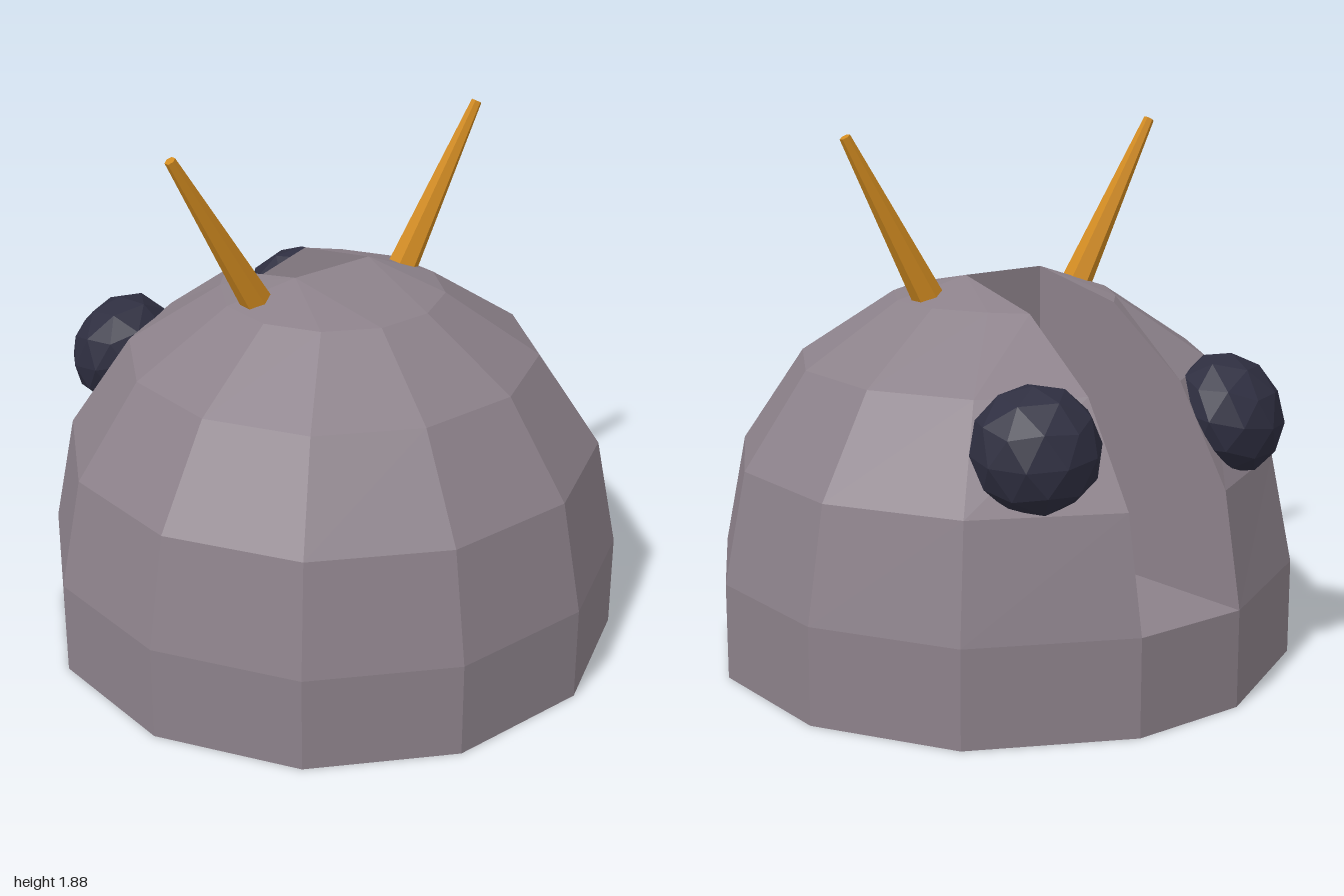
import * as THREE from 'three';

const material = (color) => new THREE.MeshStandardMaterial({ color, flatShading: true });
const V = (x, y, z) => new THREE.Vector3(x, y, z);

// Twelve-sided dome with a slot cut from its top down the back
function domeGeometry() {
  const sides = 12;
  const profile = [[1, 0], [1, 0.34], [0.924, 0.734], [0.707, 1.068], [0.383, 1.29]]; // flat radius, height
  const top = profile.length - 1;
  const slotX = (z) => 0.165 - 0.05 * z; // slot widens towards the back
  const positions = [];
  const poly = (...p) => {
    for (let i = 1; i < p.length - 1; i++) {
      for (const v of [p[0], p[i], p[i + 1]]) positions.push(v.x, v.y, v.z);
    }
  };

  const rings = profile.map(([r, y]) => Array.from({ length: sides }, (_, k) => {
    const a = THREE.MathUtils.degToRad(15 + 30 * k);
    const R = r / Math.cos(Math.PI / 12);
    const p = V(R * Math.sin(a), y, R * Math.cos(a));
    if (k === 5 || k === 6) p.x = Math.sign(p.x) * slotX(p.z);
    return p;
  }));
  const apex = [V(0.165, 1.37, 0), V(-0.165, 1.37, 0)];
  const floor = [V(0.165, 0.34, 0), V(-0.165, 0.34, 0)];

  // Outer shell, leaving the back column open above the lowest band
  for (let k = 0; k < sides; k++) {
    const n = (k + 1) % sides;
    for (let j = 0; j < top; j++) {
      if (k === 5 && j > 0) break;
      poly(rings[j][k], rings[j][n], rings[j + 1][n], rings[j + 1][k]);
    }
    if (k === sides - 1) poly(rings[top][k], rings[top][n], apex[0], apex[1]);
    else if (k !== 5) poly(rings[top][k], rings[top][n], apex[k < 6 ? 0 : 1]);
  }

  // Slot walls, floor and front end
  poly(floor[0], apex[0], ...[4, 3, 2, 1].map((j) => rings[j][5]));
  poly(floor[1], ...[1, 2, 3, 4].map((j) => rings[j][6]), apex[1]);
  poly(floor[0], rings[1][5], rings[1][6], floor[1]);
  poly(floor[0], floor[1], apex[1], apex[0]);

  // Underside
  poly(...[...rings[0]].reverse());

  const g = new THREE.BufferGeometry();
  g.setAttribute('position', new THREE.Float32BufferAttribute(positions, 3));
  g.computeVertexNormals();
  return g;
}

// Tapered six-sided spike between two points
function spike(name, from, to, mat) {
  const dir = to.clone().sub(from);
  const mesh = new THREE.Mesh(new THREE.CylinderGeometry(0.019, 0.056, dir.length(), 6), mat);
  mesh.name = name;
  mesh.position.copy(from).add(to).multiplyScalar(0.5);
  mesh.quaternion.setFromUnitVectors(V(0, 1, 0), dir.normalize());
  return mesh;
}

export function createModel() {
  const model = new THREE.Group();
  model.name = 'hornedDome';

  const dome = new THREE.Mesh(domeGeometry(), material(0x8c818a));
  dome.name = 'slottedDome';
  model.add(dome);

  // Horns, slightly uneven
  const hornMat = material(0xd08a20);
  model.add(
    spike('leftHorn', V(0.31, 1.29, 0.012), V(0.617, 1.867, 0.056), hornMat),
    spike('rightHorn', V(-0.297, 1.29, -0.035), V(-0.637, 1.873, -0.043), hornMat),
  );

  // Faceted balls, flattened against the back of the dome
  const ballMat = material(0x2e2e40);
  for (const [name, x, z] of [['leftBall', 0.43, -0.728], ['rightBall', -0.404, -0.735]]) {
    const ball = new THREE.Mesh(new THREE.IcosahedronGeometry(1, 1), ballMat);
    ball.name = name;
    ball.scale.set(0.214, 0.214, 0.178);
    ball.position.set(x, 0.935, z);
    ball.quaternion.setFromUnitVectors(V(0, 0, 1), V(Math.sign(x) * 0.42, 0.45, -0.75).normalize());
    model.add(ball);
  }
  return model;
}
